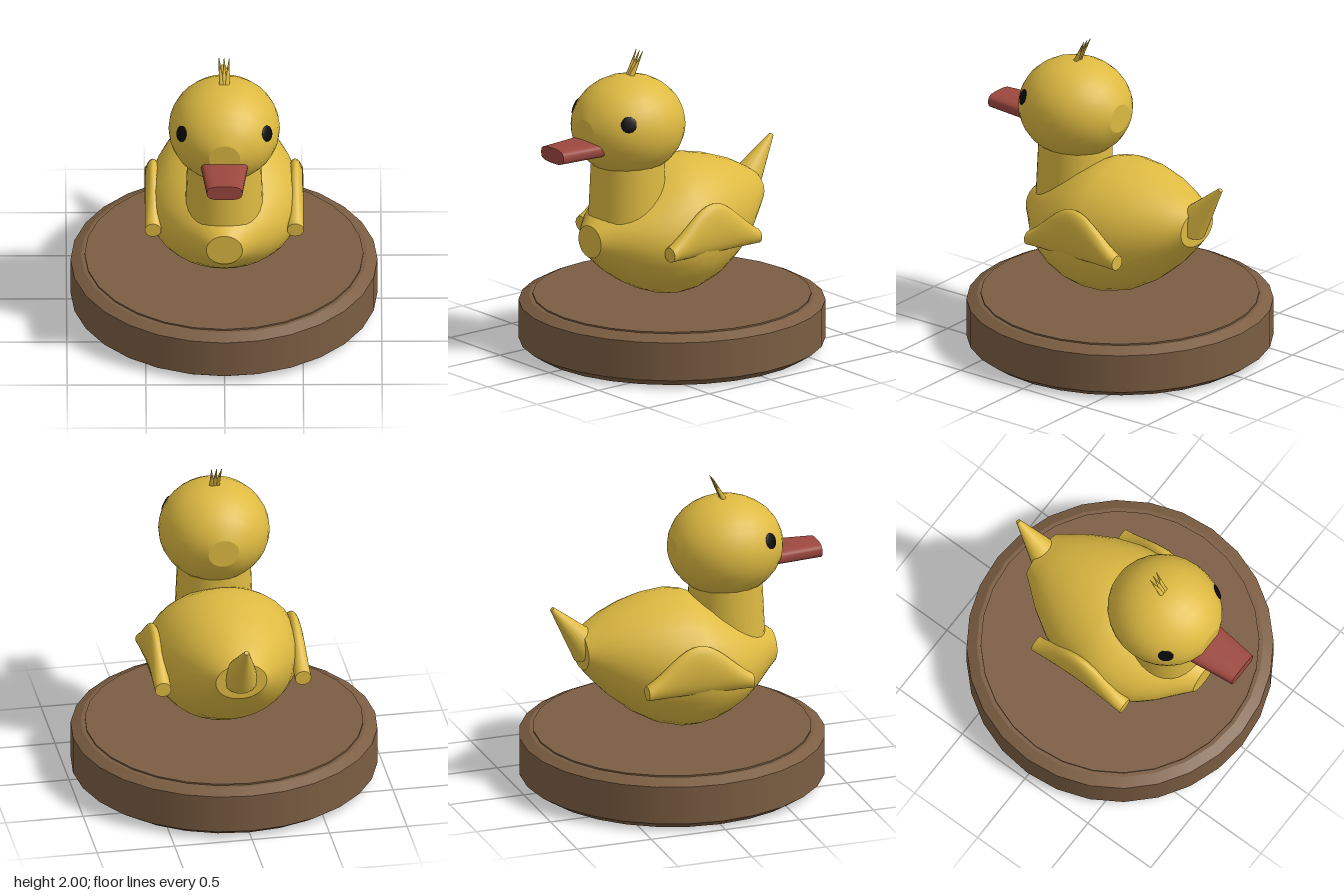
import * as THREE from 'three';

const mat = (name, color) => {
  const m = new THREE.MeshStandardMaterial({ color });
  m.name = name;
  return m;
};

// Skin elliptical rings [z, bottom, top, halfWidth] ordered by rising z, with flat end caps.
// power < 1 squares the cross-section off.
function loft(rings, seg = 32, power = 1) {
  const pos = [], idx = [];
  const bend = (v) => Math.sign(v) * Math.abs(v) ** power;
  const addRing = ([z, lo, hi, w]) => {
    const start = pos.length / 3;
    for (let j = 0; j < seg; j++) {
      const a = (j / seg) * Math.PI * 2;
      pos.push(w * bend(Math.cos(a)), (lo + hi) / 2 + ((hi - lo) / 2) * bend(Math.sin(a)), z);
    }
    return start;
  };
  const starts = rings.map(addRing);
  for (let i = 0; i < starts.length - 1; i++) {
    for (let j = 0; j < seg; j++) {
      const k = (j + 1) % seg, a = starts[i], b = starts[i + 1];
      idx.push(a + j, a + k, b + j, a + k, b + k, b + j);
    }
  }
  const back = addRing(rings[0]), front = addRing(rings[rings.length - 1]);
  for (let j = 1; j < seg - 1; j++) {
    idx.push(back, back + j + 1, back + j, front, front + j, front + j + 1);
  }
  const g = new THREE.BufferGeometry();
  g.setAttribute('position', new THREE.Float32BufferAttribute(pos, 3));
  g.setIndex(idx);
  g.computeVertexNormals();
  return g;
}

// Tapered rod between two points
function rod(from, to, r0, r1, seg) {
  const a = new THREE.Vector3(...from), b = new THREE.Vector3(...to);
  const dir = b.clone().sub(a);
  const g = new THREE.CylinderGeometry(r1, r0, dir.length(), seg);
  g.applyQuaternion(new THREE.Quaternion().setFromUnitVectors(new THREE.Vector3(0, 1, 0), dir.normalize()));
  const mid = a.add(b).multiplyScalar(0.5);
  return g.translate(mid.x, mid.y, mid.z);
}

export function createModel() {
  const yellow = mat('yellow', 0xdeba42);
  const brown = mat('brown', 0x7b5d42);
  const red = mat('red', 0x9c483f);
  const black = mat('black', 0x0a0a0a);
  const model = new THREE.Group();
  const add = (name, geometry, material) => {
    const mesh = new THREE.Mesh(geometry, material);
    mesh.name = name;
    model.add(mesh);
    return mesh;
  };

  // Round base: each profile band is its own lathe so the edges stay sharp
  const profile = [[0, 0], [0.9, 0], [0.975, 0.05], [0.975, 0.3], [0.91, 0.335],
    [0.885, 0.335], [0.885, 0.345], [0, 0.345]].map(([x, y]) => new THREE.Vector2(x, y));
  const base = new THREE.Group();
  base.name = 'base';
  for (let i = 0; i < profile.length - 1; i++) {
    const band = new THREE.Mesh(new THREE.LatheGeometry([profile[i], profile[i + 1]], 28), brown);
    band.name = 'baseBand';
    base.add(band);
  }
  model.add(base);

  // Body
  add('body', loft([
    [-0.62, 0.815, 1.06, 0.165], [-0.55, 0.73, 1.1, 0.22], [-0.45, 0.625, 1.155, 0.3],
    [-0.3, 0.5, 1.21, 0.39], [-0.15, 0.415, 1.245, 0.448], [0, 0.375, 1.255, 0.48],
    [0.1, 0.375, 1.235, 0.488], [0.2, 0.395, 1.19, 0.475], [0.3, 0.435, 1.13, 0.44],
    [0.4, 0.49, 1.07, 0.385], [0.5, 0.56, 1.015, 0.3], [0.6, 0.645, 0.96, 0.19],
    [0.67, 0.7, 0.91, 0.115],
  ]), yellow);

  // Neck
  add('neck', rod([0, 0.85, 0.365], [0, 1.36, 0.36], 0.252, 0.232, 32), yellow);

  // Head: ball with its front and back cut flat
  const headRings = [];
  for (let i = -6; i <= 6; i++) {
    const t = (i / 6) * 1.286, r = Math.cos(t);
    headRings.push([0.358 + 0.372 * Math.sin(t), 1.53 - 0.325 * r, 1.53 + 0.325 * r, 0.354 * r]);
  }
  add('head', loft(headRings), yellow);

  // Bill
  add('bill', loft([[0.58, 1.385, 1.488, 0.16], [0.975, 1.385, 1.485, 0.113]], 32, 0.65), red);

  // Tail
  add('tail', rod([0, 0.943, -0.567], [0, 1.243, -0.81], 0.116, 0.015, 20), yellow);

  // Crest feathers
  for (const s of [-1, 0, 1]) {
    add('crestFeather', rod([s * 0.014, 1.82, 0.355], [s * 0.033, 2, 0.265], 0.02, 0.002, 8), yellow);
  }

  for (const side of [-1, 1]) {
    // Wing: arched, flat-ended
    const wingRings = [];
    for (let i = -8; i <= 8; i++) {
      const t = i / 8;
      const rise = 0.5 + 0.5 * Math.cos(Math.PI * t);
      const top = 0.815 + 0.23 * (0.55 * rise + 0.45 * (1 - t * t));
      wingRings.push([0.025 + 0.355 * t, 0.72, top, 0.052]);
    }
    add(side > 0 ? 'leftWing' : 'rightWing', loft(wingRings, 24), yellow).position.x = side * 0.452;

    // Eye
    const eye = add(side > 0 ? 'leftEye' : 'rightEye', new THREE.SphereGeometry(1, 20, 12), black);
    const p = new THREE.Vector3(side * 0.267, 0.092, 0.208);
    const scale = 1 / Math.hypot(p.x / 0.354, p.y / 0.325, p.z / 0.372);
    p.multiplyScalar(scale);
    eye.position.set(p.x, 1.53 + p.y, 0.358 + p.z);
    eye.lookAt(eye.position.clone().add(new THREE.Vector3(p.x / 0.354 ** 2, p.y / 0.325 ** 2, p.z / 0.372 ** 2)));
    eye.scale.set(0.05, 0.052, 0.009);
  }
  return model;
}
